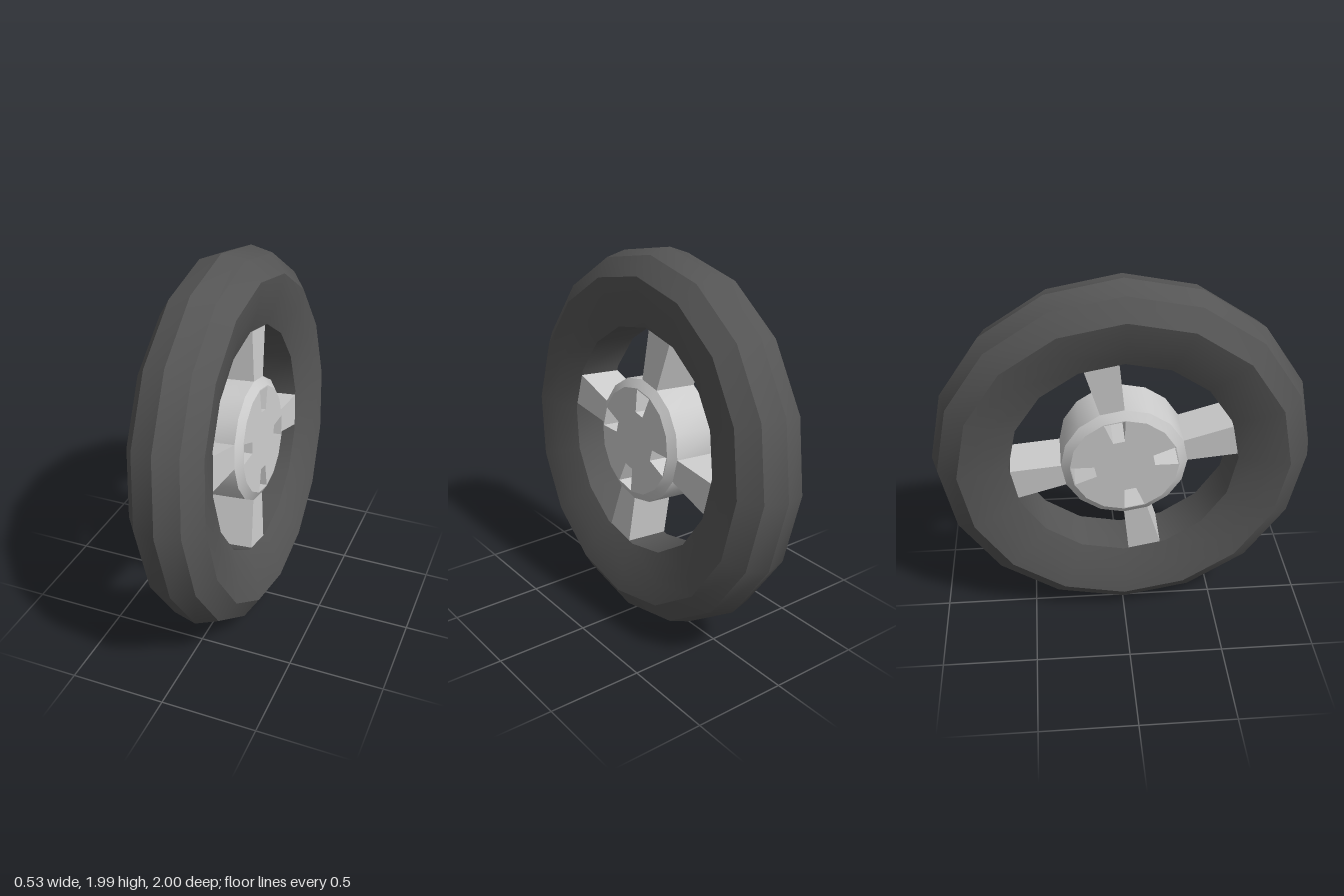
import * as THREE from 'three';
import { toCreasedNormals } from 'three/addons/utils/BufferGeometryUtils.js';

const SIDES = 16;
const STEP = (Math.PI * 2) / SIDES;
const tyreMat = new THREE.MeshStandardMaterial({ color: 0x555555 });
const metalMat = new THREE.MeshStandardMaterial({ color: 0xcccccc });

// Point at radius r, angle a clockwise from straight up
const polar = (r, a) => new THREE.Vector2(r * Math.sin(a), r * Math.cos(a));

// Revolved ring about the axle (local z) from [radius, axial] pairs
function ring(name, profile, material) {
  const points = profile.map(([r, w]) => new THREE.Vector2(r, w));
  const geo = new THREE.LatheGeometry(points, SIDES);
  geo.rotateX(Math.PI / 2);
  const mesh = new THREE.Mesh(toCreasedNormals(geo, THREE.MathUtils.degToRad(28)), material);
  mesh.name = name;
  return mesh;
}

// Flat outline extruded along the axle, centred on the wheel plane
function slab(name, shape, width) {
  const geo = new THREE.ExtrudeGeometry(shape, { depth: width, bevelEnabled: false });
  geo.translate(0, 0, -width / 2);
  const mesh = new THREE.Mesh(toCreasedNormals(geo, THREE.MathUtils.degToRad(28)), metalMat);
  mesh.name = name;
  return mesh;
}

export function createModel() {
  const wheel = new THREE.Group();
  wheel.name = 'wheel';

  // Tyre: faceted tread, sidewalls and flat inner band
  const half = [[0.6, 0.12], [0.742, 0.175], [0.863, 0.195], [0.965, 0.12]];
  const mirrored = half.map(([r, w]) => [r, -w]);
  wheel.add(ring('tyre',
    [...mirrored, [1, 0], ...half.slice().reverse(), [0.6, -0.12]], tyreMat));

  // Hub disc with four wedge-shaped slots cut through it
  const disc = new THREE.Shape(
    Array.from({ length: SIDES }, (_, i) => polar(0.285, -i * STEP)));
  for (let k = 0; k < 4; k++) {
    const a = (k * Math.PI) / 2;
    disc.holes.push(new THREE.Path([
      polar(0.158, a), polar(0.28, a), polar(0.28, a + STEP), polar(0.158, a + STEP),
    ]));
  }
  wheel.add(slab('hubDisc', disc, 0.3));

  // Bevelled hub rim
  wheel.add(ring('hubRim',
    [[0.285, -0.15], [0.33, -0.12], [0.33, 0.12], [0.285, 0.15]], metalMat));

  // Four spokes widening towards the tyre
  const spokeShape = new THREE.Shape([
    new THREE.Vector2(-0.062, 0.31), new THREE.Vector2(0.062, 0.31),
    new THREE.Vector2(0.09, 0.602), new THREE.Vector2(-0.09, 0.602),
  ]);
  for (let k = 0; k < 4; k++) {
    const spoke = slab('spoke', spokeShape, 0.24);
    spoke.rotation.z = -STEP / 2 - (k * Math.PI) / 2;
    wheel.add(spoke);
  }

  // Axle along x, whole wheel leaning slightly
  wheel.rotation.y = Math.PI / 2;
  const lean = new THREE.Group();
  lean.name = 'leaningWheel';
  lean.rotation.z = 0.0812;
  lean.position.y = 0.997;
  lean.add(wheel);

  const model = new THREE.Group();
  model.name = 'model';
  model.add(lean);
  return model;
}
